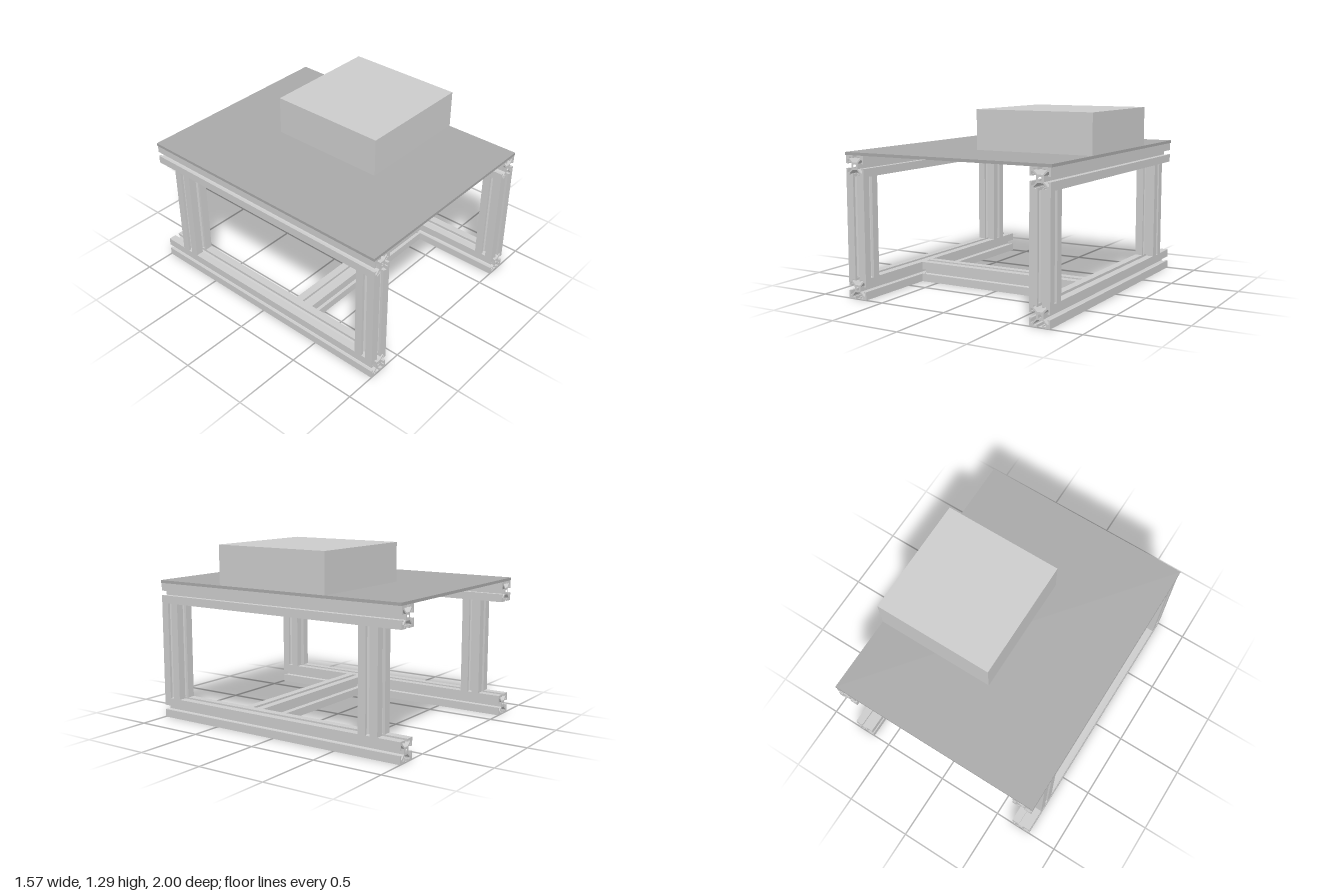
import * as THREE from 'three';

const SIZE = 0.146;          // width of the slotted profile
const U = SIZE / 40;         // profile is drawn on a 40 unit square

// Slotted square profile: one side's outline, turned four times, plus a centre bore
function profileShape() {
  const half = [[5, 7], [12.5, 14.5], [12.5, 17], [7, 17], [7, 15], [4.5, 15], [4.5, 20]];
  const side = [[-20, 20], ...half.map(([x, y]) => [-x, y]).reverse(), ...half];
  const pts = [];
  for (let k = 0; k < 4; k++) {
    for (const [x, y] of side) {
      pts.push(new THREE.Vector2(x * U, y * U).rotateAround(new THREE.Vector2(), -k * Math.PI / 2));
    }
  }
  const shape = new THREE.Shape(pts);
  const bore = new THREE.Path();
  bore.absarc(0, 0, 3.4 * U, 0, Math.PI * 2, true);
  shape.holes.push(bore);
  return shape;
}

export function createModel() {
  const model = new THREE.Group();
  const grey = new THREE.MeshStandardMaterial({ color: 0xcccccc });
  const darkGrey = new THREE.MeshStandardMaterial({ color: 0xa8a8a8 });
  const shape = profileShape();

  // Profile bar centred at (x, y, z), running along the given axis
  function bar(name, length, axis, x, y, z) {
    const geo = new THREE.ExtrudeGeometry(shape, { depth: length, bevelEnabled: false, curveSegments: 8 });
    geo.translate(0, 0, -length / 2);
    if (axis === 'x') geo.rotateY(Math.PI / 2);
    if (axis === 'y') geo.rotateX(Math.PI / 2);
    const mesh = new THREE.Mesh(geo, grey);
    mesh.name = name;
    mesh.position.set(x, y, z);
    model.add(mesh);
  }

  function block(name, w, h, d, x, y, z, material) {
    const mesh = new THREE.Mesh(new THREE.BoxGeometry(w, h, d), material);
    mesh.name = name;
    mesh.position.set(x, y, z);
    model.add(mesh);
  }

  const railX = 0.707, lowY = SIZE / 2, highY = 0.99 - SIZE / 2;

  // Two side frames: long rails joined by a front and a rear post
  for (const [label, s] of [['left', 1], ['right', -1]]) {
    bar(label + 'LowerRail', 2, 'z', s * railX, lowY, 0);
    bar(label + 'UpperRail', 2, 'z', s * railX, highY, 0);
    const postLength = highY - lowY - SIZE;
    bar(label + 'FrontPost', postLength, 'y', s * railX, (lowY + highY) / 2, 1 - SIZE / 2);
    bar(label + 'RearPost', postLength, 'y', s * railX, (lowY + highY) / 2, -0.76);
  }

  // Cross beam between the lower rails
  bar('crossBeam', 2 * railX - SIZE, 'x', 0, lowY, 0.27);

  // Table plate and the box standing on it
  block('tablePlate', 1.574, 0.02, 2, 0, 1.0, 0, darkGrey);
  block('topBox', 0.877, 0.28, 0.876, 0.3485, 1.15, 0, grey);

  return model;
}
